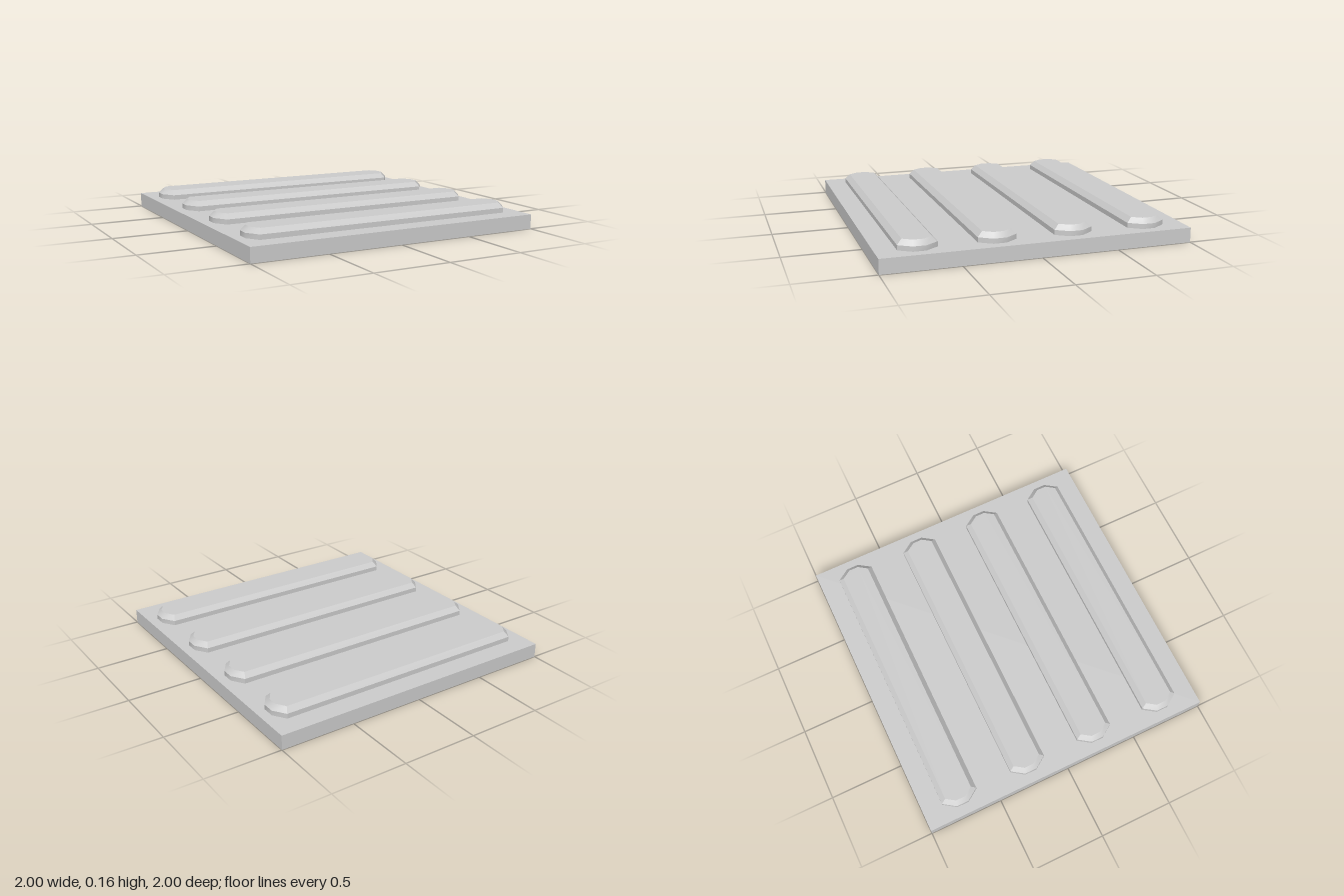
import * as THREE from 'three';
import { toCreasedNormals } from 'three/addons/utils/BufferGeometryUtils.js';

const material = new THREE.MeshStandardMaterial({ color: 0xcccccc });
const BASE_TOP = 0.096;

// Elongated octagon, counter-clockwise from above, from its end and corner points
function octagon(endX, endZ, cornerX, cornerZ, y) {
  return [
    [endX, endZ], [endX, -endZ], [cornerX, -cornerZ], [-cornerX, -cornerZ],
    [-endX, -endZ], [-endX, endZ], [-cornerX, cornerZ], [cornerX, cornerZ],
  ].map(([x, z]) => [x, y, z]);
}

// Raised bar: upright wall, sloped bevel and flat top
function barGeometry() {
  const rings = [
    octagon(0.933, 0.041, 0.877, 0.123, BASE_TOP),
    octagon(0.933, 0.041, 0.877, 0.123, 0.128),
    octagon(0.902, 0.032, 0.861, 0.092, 0.16),
  ];
  const n = rings[0].length;
  const positions = [];
  for (let r = 0; r < rings.length - 1; r++) {
    for (let i = 0; i < n; i++) {
      const j = (i + 1) % n;
      const [a, b, c, d] = [rings[r][i], rings[r][j], rings[r + 1][j], rings[r + 1][i]];
      positions.push(...a, ...b, ...c, ...a, ...c, ...d);
    }
  }
  const top = rings[rings.length - 1];
  for (let i = 1; i < n - 1; i++) positions.push(...top[0], ...top[i], ...top[i + 1]);

  const geometry = new THREE.BufferGeometry();
  geometry.setAttribute('position', new THREE.Float32BufferAttribute(positions, 3));
  // Soft rounding across the end facets, sharp edges elsewhere
  return toCreasedNormals(geometry, THREE.MathUtils.degToRad(36));
}

export function createModel() {
  const group = new THREE.Group();
  group.name = 'tactilePavingTile';

  // Square slab
  const slab = new THREE.Mesh(new THREE.BoxGeometry(2, BASE_TOP, 2), material);
  slab.name = 'slab';
  slab.position.y = BASE_TOP / 2;
  group.add(slab);

  // Four parallel bars
  const geometry = barGeometry();
  for (let i = 0; i < 4; i++) {
    const bar = new THREE.Mesh(geometry, material);
    bar.name = `raisedBar${i + 1}`;
    bar.position.z = (i - 1.5) * 0.494;
    group.add(bar);
  }
  return group;
}
